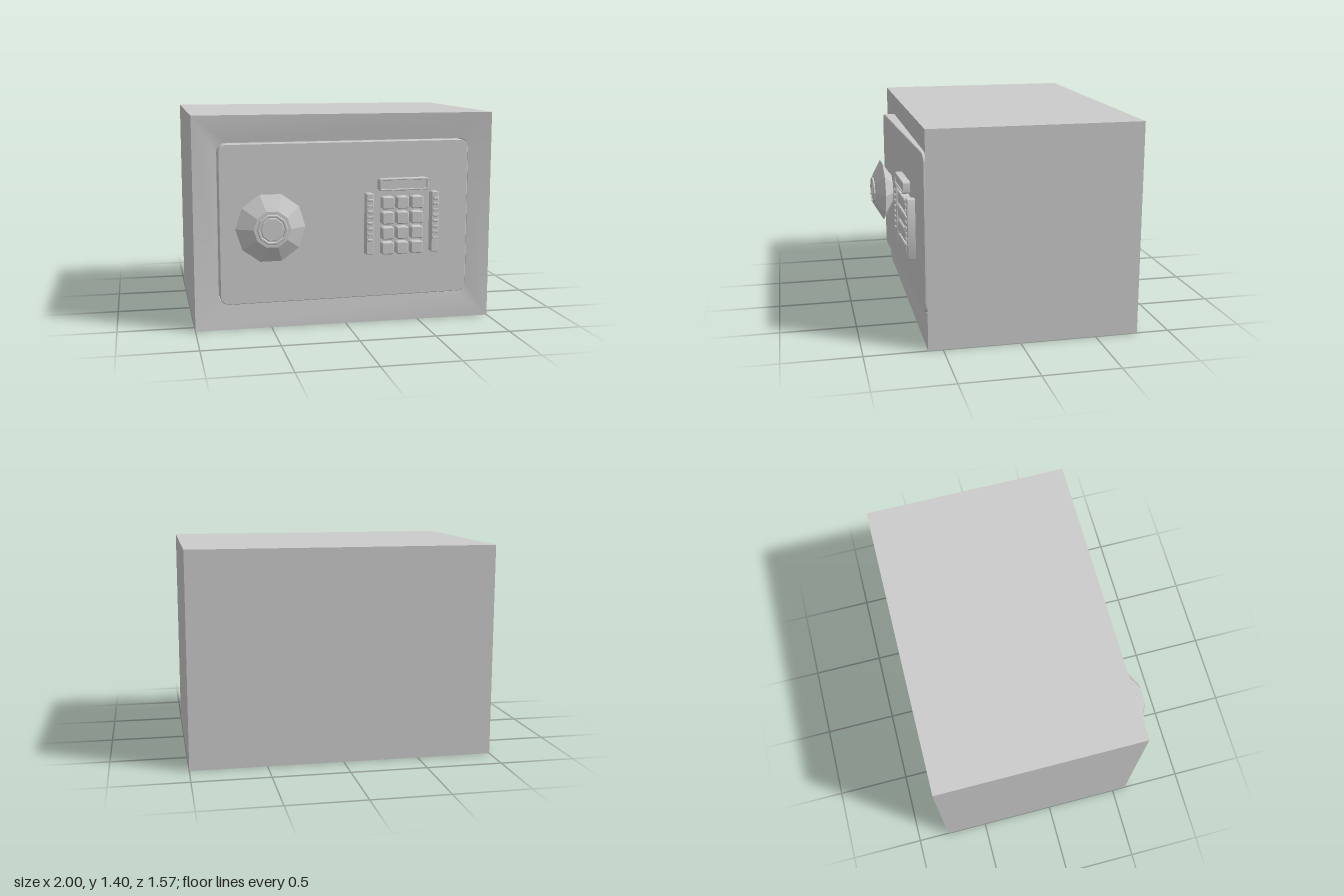
import * as THREE from 'three';
import { toCreasedNormals } from 'three/addons/utils/BufferGeometryUtils.js';

const grey = new THREE.MeshStandardMaterial({ color: 0xcccccc });
const faceted = new THREE.MeshStandardMaterial({ color: 0xcccccc, flatShading: true });

function add(parent, name, geometry, x = 0, y = 0, z = 0, material = grey) {
  const mesh = new THREE.Mesh(geometry, material);
  mesh.name = name;
  mesh.position.set(x, y, z);
  parent.add(mesh);
  return mesh;
}

// Rounded rectangle centred on the origin, as counter-clockwise points
function roundedRect(w, h, r, steps = 5) {
  const points = [];
  [[1, 1], [-1, 1], [-1, -1], [1, -1]].forEach(([sx, sy], corner) => {
    for (let i = 0; i <= steps; i++) {
      const a = (corner + i / steps) * Math.PI / 2;
      points.push(new THREE.Vector2(sx * (w / 2 - r) + r * Math.cos(a), sy * (h / 2 - r) + r * Math.sin(a)));
    }
  });
  return points;
}

// Skin through matching rectangular loops, closed by a cap at each end
function loft(sections) {
  const positions = [];
  const loops = sections.map(({ w, h, r, z }) => roundedRect(w, h, r).map(p => [p.x, p.y, z]));
  const triangle = (a, b, c) => positions.push(...a, ...b, ...c);
  const n = loops[0].length;
  for (let k = 0; k < loops.length - 1; k++) {
    for (let i = 0; i < n; i++) {
      const j = (i + 1) % n, a = loops[k], b = loops[k + 1];
      triangle(a[i], a[j], b[j]);
      triangle(a[i], b[j], b[i]);
    }
  }
  const first = loops[0], last = loops[loops.length - 1];
  for (let i = 0; i < n; i++) {
    const j = (i + 1) % n;
    triangle([0, 0, first[0][2]], first[j], first[i]);
    triangle([0, 0, last[0][2]], last[i], last[j]);
  }
  const geometry = new THREE.BufferGeometry();
  geometry.setAttribute('position', new THREE.Float32BufferAttribute(positions, 3));
  return toCreasedNormals(geometry, 0.5);
}

// Block with rounded corners and a chamfered front edge, from z = 0 to depth
function block(w, h, depth, r, chamfer) {
  return loft([
    { w, h, r, z: 0 },
    { w, h, r, z: depth - chamfer },
    { w: w - 2 * chamfer, h: h - 2 * chamfer, r: Math.max(r - chamfer, 0.001), z: depth },
  ]);
}

// Ten-sided turned part whose axis points to +z
function turned(profile) {
  const points = profile.map(([r, z]) => new THREE.Vector2(r, z));
  const geometry = new THREE.LatheGeometry(points, 10, Math.PI / 2);
  return geometry.rotateX(Math.PI / 2);
}

export function createModel() {
  const safe = new THREE.Group();
  safe.name = 'safe';

  // Cabinet: plain shell, frame sloping in to a rounded door opening
  add(safe, 'cabinet', loft([
    { w: 2, h: 1.4, r: 0, z: -0.785 },
    { w: 2, h: 1.4, r: 0, z: 0.595 },
    { w: 1.692, h: 1.052, r: 0.06, z: 0.57 },
    { w: 1.692, h: 1.052, r: 0.06, z: 0.45 },
  ]), 0, 0.7, 0);

  // Door standing slightly ajar on its hinge at +x
  const hinge = new THREE.Group();
  hinge.name = 'doorHinge';
  hinge.position.set(0.84, 0, 0.586);
  hinge.rotation.y = 0.0365;
  safe.add(hinge);
  const door = new THREE.Group();
  door.name = 'door';
  door.position.x = -0.84;
  hinge.add(door);
  add(door, 'doorPanel', block(1.68, 1.04, 0.08, 0.055, 0.004), 0, 0.7, -0.08);

  // Faceted turning knob with a raised key cylinder
  const knob = new THREE.Group();
  knob.name = 'knob';
  knob.position.set(-0.52, 0.687, 0);
  door.add(knob);
  add(knob, 'knobBody', turned([
    [0, -0.01], [0.12, -0.01], [0.125, 0.005], [0.2275, 0.07], [0.12, 0.132], [0, 0.132],
  ]), 0, 0, 0, faceted);
  add(knob, 'keyRing', turned([
    [0.1, 0.13], [0.1, 0.142], [0.095, 0.146], [0.085, 0.146], [0.08, 0.133],
  ]), 0, 0, 0, faceted);
  add(knob, 'keyCylinder', turned([[0.078, 0.13], [0.078, 0.139], [0.072, 0.142], [0, 0.142]]), 0, 0, 0, faceted);
  // Narrow raised lips either side of the key slot
  for (const side of [-1, 1]) {
    add(knob, 'keySlotLip', new THREE.BoxGeometry(0.004, 0.074, 0.006), side * 0.006, 0, 0.142);
  }

  // Keypad: four rows of three keys
  const keypad = new THREE.Group();
  keypad.name = 'keypad';
  door.add(keypad);
  const key = block(0.082, 0.082, 0.055, 0.014, 0.006);
  for (let row = 0; row < 4; row++) {
    for (let column = 0; column < 3; column++) {
      add(keypad, 'key', key, 0.266 + column * 0.1, 0.817 - row * 0.101, 0.012);
    }
  }

  // Display with a shallow recessed window
  add(keypad, 'display', loft([
    { w: 0.335, h: 0.08, r: 0.012, z: 0 },
    { w: 0.335, h: 0.08, r: 0.012, z: 0.047 },
    { w: 0.329, h: 0.074, r: 0.01, z: 0.05 },
    { w: 0.318, h: 0.063, r: 0.008, z: 0.05 },
    { w: 0.312, h: 0.057, r: 0.006, z: 0.042 },
  ]), 0.368, 0.94, 0.029);

  // Ribbed strips flanking the keys
  const strip = block(0.05, 0.408, 0.054, 0.012, 0.004);
  const rib = block(0.036, 0.017, 0.014, 0.004, 0.003);
  for (const x of [0.14, 0.59]) {
    add(keypad, 'gripStrip', strip, x, 0.68, 0.013);
    for (let i = 0; i < 8; i++) add(keypad, 'gripRib', rib, x, 0.575 + i * 0.0378, 0.063);
  }
  return safe;
}
